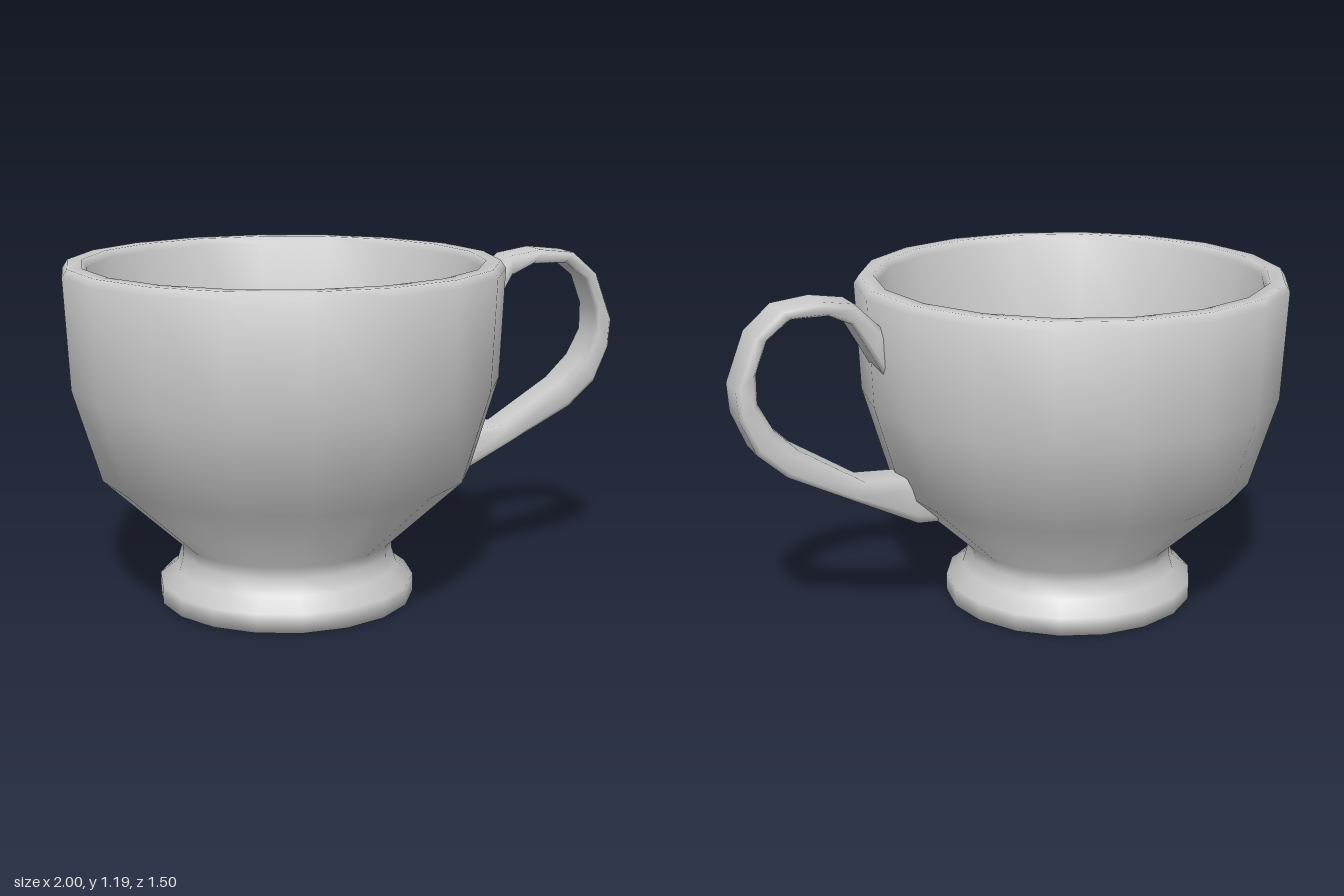
import * as THREE from 'three';

const SIDES = 18;
const CUP_X = -0.24;

const material = new THREE.MeshStandardMaterial({ color: 0xcccccc });

// Surface of revolution with a corner on the +x axis; normals bisect the profile's corners
function turned(name, profile) {
  const points = profile.map(([r, y]) => new THREE.Vector2(r, y));
  const geometry = new THREE.LatheGeometry(points, SIDES, Math.PI / 2);
  const sides = points.slice(1).map((p, j) => {
    const d = p.clone().sub(points[j]).normalize();
    return new THREE.Vector2(d.y, -d.x);
  });
  const normals = points.map((p, j) =>
    (sides[j - 1] ?? sides[j]).clone().add(sides[j] ?? sides[j - 1]).normalize());
  for (let i = 0; i <= SIDES; i++) {
    const phi = Math.PI / 2 + (i / SIDES) * Math.PI * 2;
    normals.forEach((n, j) => geometry.attributes.normal.setXYZ(
      i * points.length + j, n.x * Math.sin(phi), n.y, n.x * Math.cos(phi)));
  }
  const mesh = new THREE.Mesh(geometry, material);
  mesh.name = name;
  mesh.position.x = CUP_X;
  return mesh;
}

// Strap swept through stations [innerX, innerY, outerX, outerY] with a chamfered section
function strapGeometry(stations, halfWidth, chamfer) {
  const w = halfWidth, c = chamfer;
  // Section corners: [fraction from inner to outer, z]
  const section = [
    [0, -w + c], [0.2, -w], [0.8, -w], [1, -w + c],
    [1, w - c], [0.8, w], [0.2, w], [0, w - c],
  ];
  const n = section.length;
  const positions = [];
  const index = [];
  for (const [ix, iy, ox, oy] of stations) {
    for (const [t, z] of section) positions.push(ix + (ox - ix) * t, iy + (oy - iy) * t, z);
  }
  for (let s = 0; s < stations.length - 1; s++) {
    for (let k = 0; k < n; k++) {
      const a = s * n + k, b = s * n + (k + 1) % n;
      index.push(a, b, a + n, b, b + n, a + n);
    }
  }
  // End caps
  const last = (stations.length - 1) * n;
  for (let k = 1; k < n - 1; k++) {
    index.push(0, k + 1, k);
    index.push(last, last + k, last + k + 1);
  }
  const geometry = new THREE.BufferGeometry();
  geometry.setAttribute('position', new THREE.Float32BufferAttribute(positions, 3));
  geometry.setIndex(index);
  geometry.computeVertexNormals();
  return geometry;
}

export function createModel() {
  const group = new THREE.Group();
  group.name = 'footedCup';

  // Flat base, foot, bowl, rounded rim and interior in one profile
  group.add(turned('bowlAndFoot', [
    [0, 0], [0.45, 0], [0.45, 0.065], [0.39, 0.11], [0.374, 0.165], [0.376, 0.205],
    [0.648, 0.46], [0.743, 0.78], [0.76, 1.16], [0.742, 1.187],
    [0.692, 1.187], [0.675, 1.162], [0.66, 0.79], [0.572, 0.495],
    [0.32, 0.273], [0, 0.25],
  ]));

  // Handle, running from the upper wall around to the lower wall
  const handle = new THREE.Mesh(strapGeometry([
    [0.48, 0.89, 0.45, 0.99],
    [0.53, 0.98, 0.5, 1.08],
    [0.6, 1.1, 0.59, 1.168],
    [0.68, 1.137, 0.71, 1.187],
    [0.81, 1.137, 0.84, 1.172],
    [0.89, 1.075, 0.935, 1.09],
    [0.93, 0.97, 1.0, 0.92],
    [0.93, 0.87, 0.993, 0.82],
    [0.88, 0.775, 0.94, 0.695],
    [0.8, 0.695, 0.84, 0.605],
    [0.57, 0.55, 0.62, 0.493],
    [0.42, 0.54, 0.38, 0.372],
    [0.35, 0.5, 0.305, 0.368],
  ], 0.074, 0.016), material);
  handle.name = 'handle';
  handle.position.z = -0.02;
  group.add(handle);

  return group;
}
